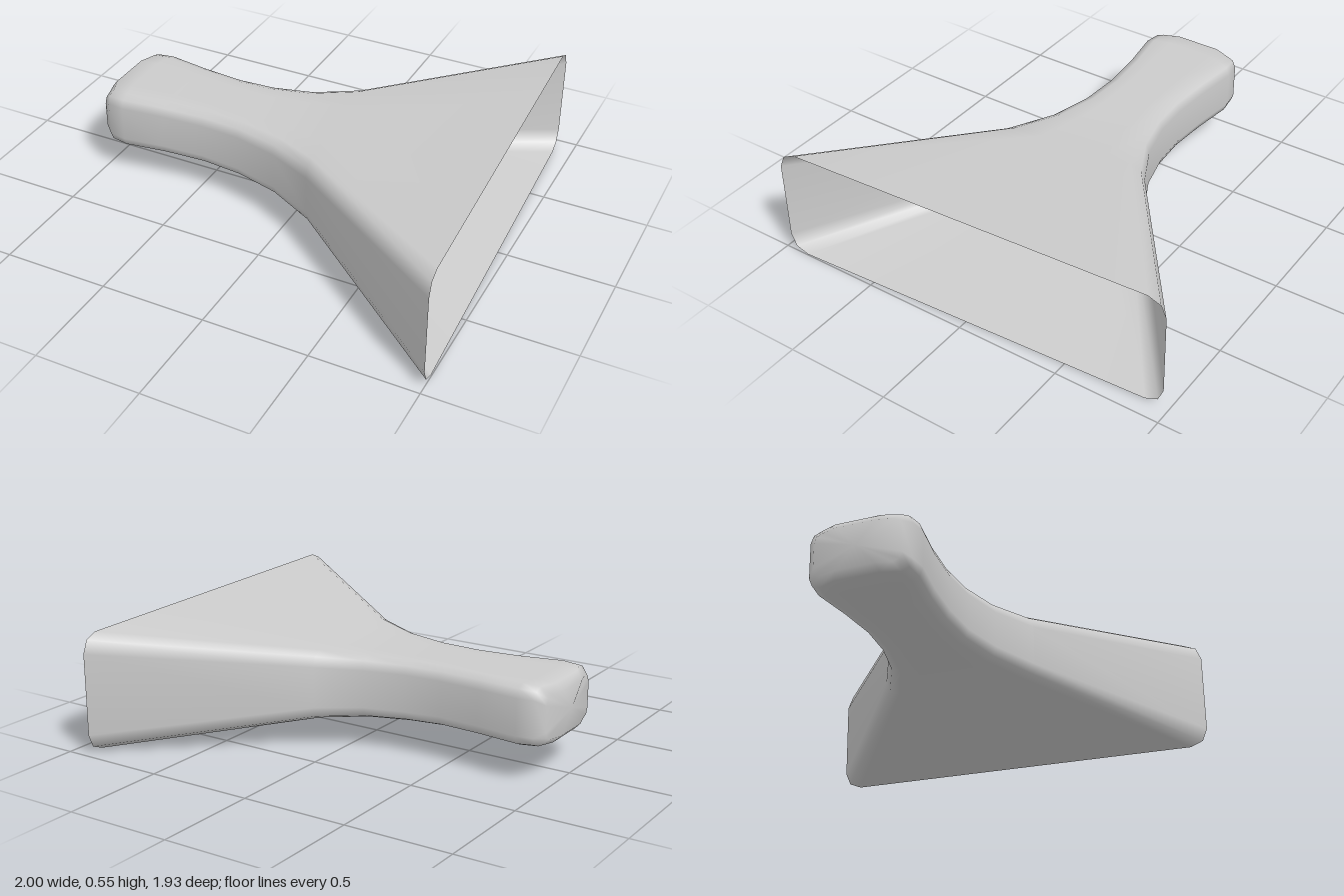
import * as THREE from 'three';

// Cross-sections along the body: x, z centre, half width, bottom y, top y,
// corner radius, slant (x shift per unit of z), bow (x shift of the middle)
const SECTIONS = [
  [-0.98, -0.002, 0.2, 0.2, 0.4, 0.04, 0, -0.02],
  [-0.94, -0.005, 0.235, 0.17, 0.435, 0.05, 0, -0.03],
  [-0.86, -0.005, 0.245, 0.163, 0.44, 0.055, 0, -0.02],
  [-0.66, -0.007, 0.217, 0.162, 0.436, 0.055, 0, 0],
  [-0.46, -0.007, 0.202, 0.16, 0.434, 0.055, 0.01, 0],
  [-0.275, -0.007, 0.212, 0.153, 0.434, 0.055, 0.06, 0],
  [-0.075, -0.005, 0.26, 0.145, 0.438, 0.06, 0.085, 0],
  [0.135, -0.003, 0.362, 0.13, 0.45, 0.065, 0.09, 0],
  [0.955, -0.002, 0.967, 0.0, 0.55, 0.085, 0.047, 0],
];

// Rounded rectangle in the z-y plane, with extra points on the top and bottom
function ring([x, cz, hw, y0, y1, r, slant, bow]) {
  const points = [];
  const add = (z, y, shift = 0) => points.push([x + slant * z + shift, y, z + cz]);
  const corners = [[1, 1], [-1, 1], [-1, -1], [1, -1]];
  corners.forEach(([sz, sy], c) => {
    const z = sz * (hw - r);
    const y = sy > 0 ? y1 - r : y0 + r;
    for (let k = 0; k < 3; k++) {
      const a = (c + k / 2) * Math.PI / 2;
      add(z + r * Math.cos(a), y + r * Math.sin(a));
    }
    if (c === 0 || c === 2) {
      for (const s of [1, -1]) add(s * sz * hw * 0.45, sy > 0 ? y1 : y0, bow);
    }
  });
  return points;
}

// Skin over the rings, closed at the narrow end and open at the wide mouth
function loft(sections) {
  const rings = sections.map(ring);
  const n = rings[0].length;
  const vertices = rings.flat();
  const index = [];
  for (let i = 0; i < rings.length - 1; i++) {
    for (let j = 0; j < n; j++) {
      const a = i * n + j;
      const b = i * n + (j + 1) % n;
      index.push(a, a + n, b, b, a + n, b + n);
    }
  }
  // Slightly domed end cap
  const centre = vertices.length;
  vertices.push([-1, 0.3, 0]);
  for (let j = 0; j < n; j++) index.push(centre, j, (j + 1) % n);

  const geometry = new THREE.BufferGeometry();
  geometry.setAttribute('position', new THREE.Float32BufferAttribute(vertices.flat(), 3));
  geometry.setIndex(index);
  geometry.computeVertexNormals();
  return geometry;
}

export function createModel() {
  const group = new THREE.Group();
  group.name = 'flaredNozzle';
  const material = new THREE.MeshStandardMaterial({ color: 0xcccccc, side: THREE.DoubleSide });
  const shell = new THREE.Mesh(loft(SECTIONS), material);
  shell.name = 'nozzleShell';
  group.add(shell);
  return group;
}
